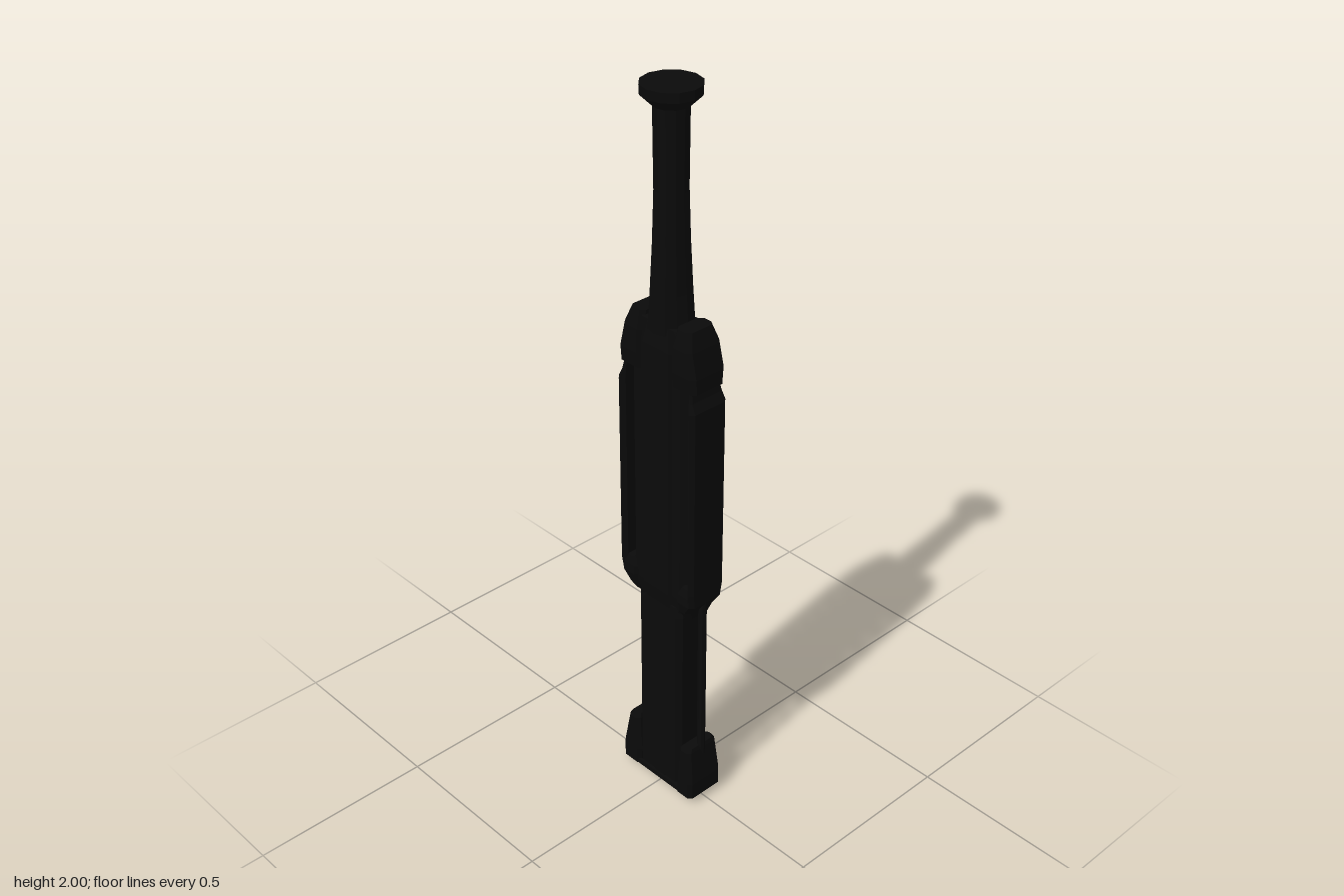
import * as THREE from 'three';

const material = new THREE.MeshStandardMaterial({ color: 0x0a0a0a, flatShading: true });

function add(group, name, geometry) {
  const mesh = new THREE.Mesh(geometry, material);
  mesh.name = name;
  group.add(mesh);
  return mesh;
}

// Vertical prism with chamfered corners; sections are [y, xMin, xMax, halfDepth, chamfer], bottom to top
function loft(sections) {
  const rings = sections.map(([y, a, b, d, c]) => [
    [b, d - c], [b, c - d], [b - c, -d], [a + c, -d],
    [a, c - d], [a, d - c], [a + c, d], [b - c, d],
  ].map(([x, z]) => [x, y, z]));
  const pos = [];
  const tri = (...pts) => pts.forEach((p) => pos.push(...p));
  const n = 8;
  for (let k = 0; k < rings.length - 1; k++) {
    const lo = rings[k], hi = rings[k + 1];
    for (let i = 0; i < n; i++) {
      const j = (i + 1) % n;
      tri(lo[i], lo[j], hi[j]);
      tri(lo[i], hi[j], hi[i]);
    }
  }
  const bottom = rings[0], top = rings[rings.length - 1];
  for (let i = 1; i < n - 1; i++) {
    tri(top[0], top[i], top[i + 1]);
    tri(bottom[0], bottom[i + 1], bottom[i]);
  }
  const g = new THREE.BufferGeometry();
  g.setAttribute('position', new THREE.Float32BufferAttribute(pos, 3));
  g.computeVertexNormals();
  return g;
}

// The same section list mirrored across x
const mirror = (sections) => sections.map(([y, a, b, d, c]) => [y, -b, -a, d, c]);

export function createModel() {
  const model = new THREE.Group();
  model.name = 'handle';

  // Grip with a flared base and a flat pommel
  const grip = [[0, 1.4], [0.058, 1.4], [0.052, 1.5], [0.046, 1.62], [0.042, 1.75], [0.044, 1.96], [0, 1.96]];
  add(model, 'grip', new THREE.LatheGeometry(grip.map(([x, y]) => new THREE.Vector2(x, y)), 12));
  const pommel = [[0, 1.95], [0.046, 1.95], [0.073, 1.976], [0.074, 2], [0, 2]];
  add(model, 'pommel', new THREE.LatheGeometry(pommel.map(([x, y]) => new THREE.Vector2(x, y)), 12));

  // Upper body and its raised front and back panel
  add(model, 'upperBody', loft([
    [0.61, -0.07, 0.085, 0.046, 0.012],
    [0.66, -0.096, 0.096, 0.048, 0.015],
    [1.36, -0.096, 0.096, 0.048, 0.015],
    [1.42, -0.07, 0.07, 0.044, 0.015],
  ]));
  add(model, 'centrePanel', loft([
    [0.59, -0.045, 0.06, 0.05, 0.01],
    [0.66, -0.055, 0.055, 0.054, 0.01],
    [1.36, -0.055, 0.055, 0.054, 0.01],
    [1.42, -0.045, 0.045, 0.044, 0.01],
  ]));

  // Shoulders, side guards and their lower brackets
  const shoulder = [
    [1.28, 0.05, 0.131, 0.053, 0.012],
    [1.32, 0.05, 0.131, 0.056, 0.012],
    [1.385, 0.05, 0.116, 0.055, 0.012],
    [1.43, 0.055, 0.102, 0.042, 0.012],
  ];
  const guard = [
    [0.66, 0.108, 0.132, 0.054, 0.01],
    [0.7, 0.11, 0.134, 0.059, 0.01],
    [1.23, 0.11, 0.134, 0.059, 0.01],
    [1.255, 0.11, 0.122, 0.053, 0.005],
    [1.29, 0.11, 0.116, 0.045, 0.002],
  ];
  const bracket = [
    [0.605, 0.07, 0.106, 0.035, 0.01],
    [0.63, 0.07, 0.112, 0.05, 0.012],
    [0.66, 0.07, 0.132, 0.056, 0.012],
    [0.685, 0.07, 0.132, 0.056, 0.012],
    [0.71, 0.09, 0.112, 0.052, 0.008],
  ];
  for (const [name, s] of [['Shoulder', shoulder], ['Guard', guard], ['Bracket', bracket]]) {
    add(model, 'left' + name, loft(s));
    add(model, 'right' + name, loft(mirror(s)));
  }

  // Lower shaft
  add(model, 'lowerShaft', loft([
    [0.045, -0.072, 0.085, 0.054, 0.014],
    [0.6, -0.072, 0.085, 0.054, 0.014],
    [0.63, -0.045, 0.08, 0.05, 0.014],
  ]));

  // Thin rods beside the shaft
  for (const [name, x] of [['leftRod', 0.115], ['rightRod', -0.101]]) {
    const rod = add(model, name, new THREE.CylinderGeometry(0.011, 0.011, 0.5, 8));
    rod.position.set(x, 0.4, 0);
  }

  // Feet that hold the rods
  add(model, 'leftFoot', loft([
    [0.022, 0.075, 0.134, 0.058, 0.01],
    [0.07, 0.075, 0.134, 0.058, 0.01],
    [0.17, 0.08, 0.122, 0.052, 0.01],
    [0.18, 0.088, 0.118, 0.046, 0.01],
  ]));
  add(model, 'rightFoot', loft([
    [0.022, -0.134, -0.066, 0.058, 0.01],
    [0.07, -0.134, -0.066, 0.058, 0.01],
    [0.17, -0.118, -0.078, 0.052, 0.01],
    [0.18, -0.112, -0.084, 0.046, 0.01],
  ]));

  // Base plate, the post that leaves two slits above it, and the bottom strip
  add(model, 'basePlate', loft([[0.022, -0.12, 0.12, 0.056, 0.01], [0.036, -0.12, 0.12, 0.056, 0.01]]));
  add(model, 'basePost', loft([[0.03, -0.022, 0.036, 0.05, 0.01], [0.05, -0.022, 0.036, 0.05, 0.01]]));
  add(model, 'bottomStrip', loft([[0, -0.088, 0.098, 0.028, 0.006], [0.03, -0.088, 0.098, 0.032, 0.006]]));

  return model;
}
